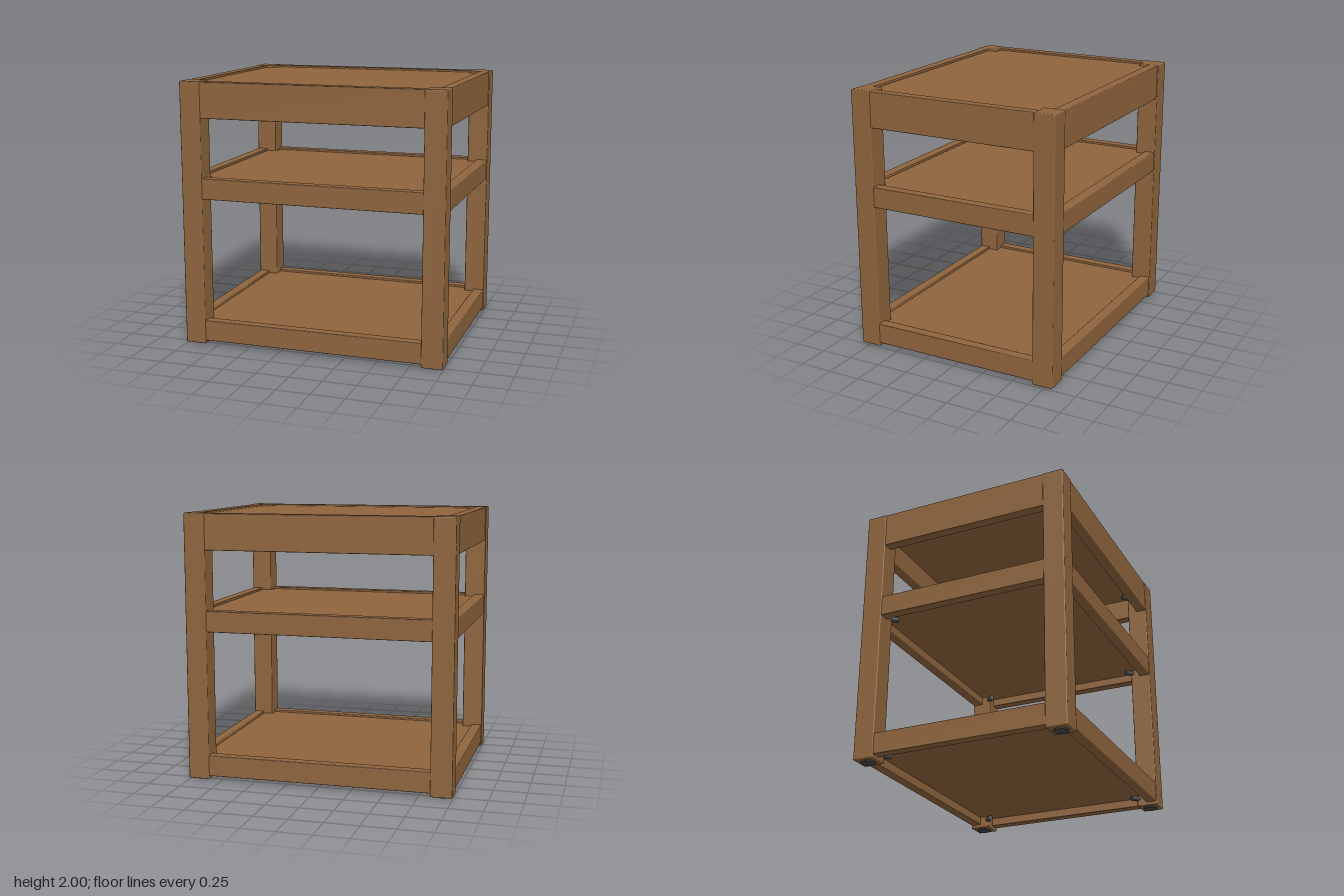
import * as THREE from 'three';
import { RoundedBoxGeometry } from 'three/addons/geometries/RoundedBoxGeometry.js';

const wood = new THREE.MeshStandardMaterial({ color: 0x8f653d });
wood.name = 'wood';
const darkMetal = new THREE.MeshStandardMaterial({ color: 0x45474a });
darkMetal.name = 'dark metal';

const X = 1, Z = 0.815;      // outer half width and half depth
const POST = 0.16;           // post side
const RAIL = 0.08;           // rail thickness
const INSET = 0.005;         // rails sit just inside the post faces

function add(parent, name, geometry, material, x, y, z) {
  const mesh = new THREE.Mesh(geometry, material);
  mesh.name = name;
  mesh.position.set(x, y, z);
  parent.add(mesh);
  return mesh;
}

// Shelf board with its four corners notched around the posts
function boardGeometry(thickness) {
  const bevel = 0.01;
  const a = X - INSET - RAIL - bevel, b = Z - INSET - RAIL - bevel;
  const c = X - POST - bevel, d = Z - POST - bevel;
  const outline = [[a, -d], [a, d], [c, d], [c, b], [-c, b], [-c, d],
    [-a, d], [-a, -d], [-c, -d], [-c, -b], [c, -b], [c, -d]];
  const shape = new THREE.Shape(outline.map(([x, y]) => new THREE.Vector2(x, y)));
  const geometry = new THREE.ExtrudeGeometry(shape, {
    depth: thickness - 2 * bevel, bevelEnabled: true,
    bevelSize: bevel, bevelThickness: bevel, bevelSegments: 2,
  });
  geometry.translate(0, 0, -(thickness - 2 * bevel) / 2);
  geometry.rotateX(-Math.PI / 2);
  return geometry;
}

export function createModel() {
  const model = new THREE.Group();
  model.name = 'sideTable';
  const corners = [[1, 1], [-1, 1], [1, -1], [-1, -1]];

  // Corner posts on round glides
  const postGeometry = new RoundedBoxGeometry(POST, 1.99, POST, 2, 0.008);
  const footGeometry = new THREE.CylinderGeometry(0.055, 0.05, 0.02, 24);
  for (const [sx, sz] of corners) {
    const x = sx * (X - POST / 2), z = sz * (Z - POST / 2);
    add(model, 'post', postGeometry, wood, x, 1.005, z);
    add(model, 'footGlide', footGeometry, darkMetal, x, 0.01, z);
  }

  // Three tiers: a frame of rails, a recessed board and corner bolts
  const tiers = [
    ['bottomShelf', 0.035, 0.193],
    ['middleShelf', 1.128, 1.285],
    ['top', 1.73, 1.998],
  ];
  const thickness = 0.085;
  const board = boardGeometry(thickness);
  const boltGeometry = new THREE.CylinderGeometry(0.02, 0.02, 0.07, 12).rotateX(Math.PI / 2);
  for (const [name, low, high] of tiers) {
    const tier = new THREE.Group();
    tier.name = name;
    model.add(tier);
    const h = high - low, mid = (high + low) / 2;
    const longRail = new RoundedBoxGeometry(2 * (X - POST) + 0.02, h, RAIL, 2, 0.006);
    const shortRail = new RoundedBoxGeometry(RAIL, h, 2 * (Z - POST) + 0.02, 2, 0.006);
    for (const s of [1, -1]) {
      add(tier, 'longRail', longRail, wood, 0, mid, s * (Z - INSET - RAIL / 2));
      add(tier, 'shortRail', shortRail, wood, s * (X - INSET - RAIL / 2), mid, 0);
    }
    const boardTop = high - 0.014;
    add(tier, 'board', board, wood, 0, boardTop - thickness / 2, 0);

    for (const [sx, sz] of corners) {
      const bolt = add(tier, 'cornerBolt', boltGeometry, darkMetal,
        sx * (X - POST - 0.01), boardTop - thickness - 0.022, sz * (Z - POST - 0.01));
      bolt.rotation.y = sx * sz * Math.PI / 4;
    }
  }
  return model;
}
